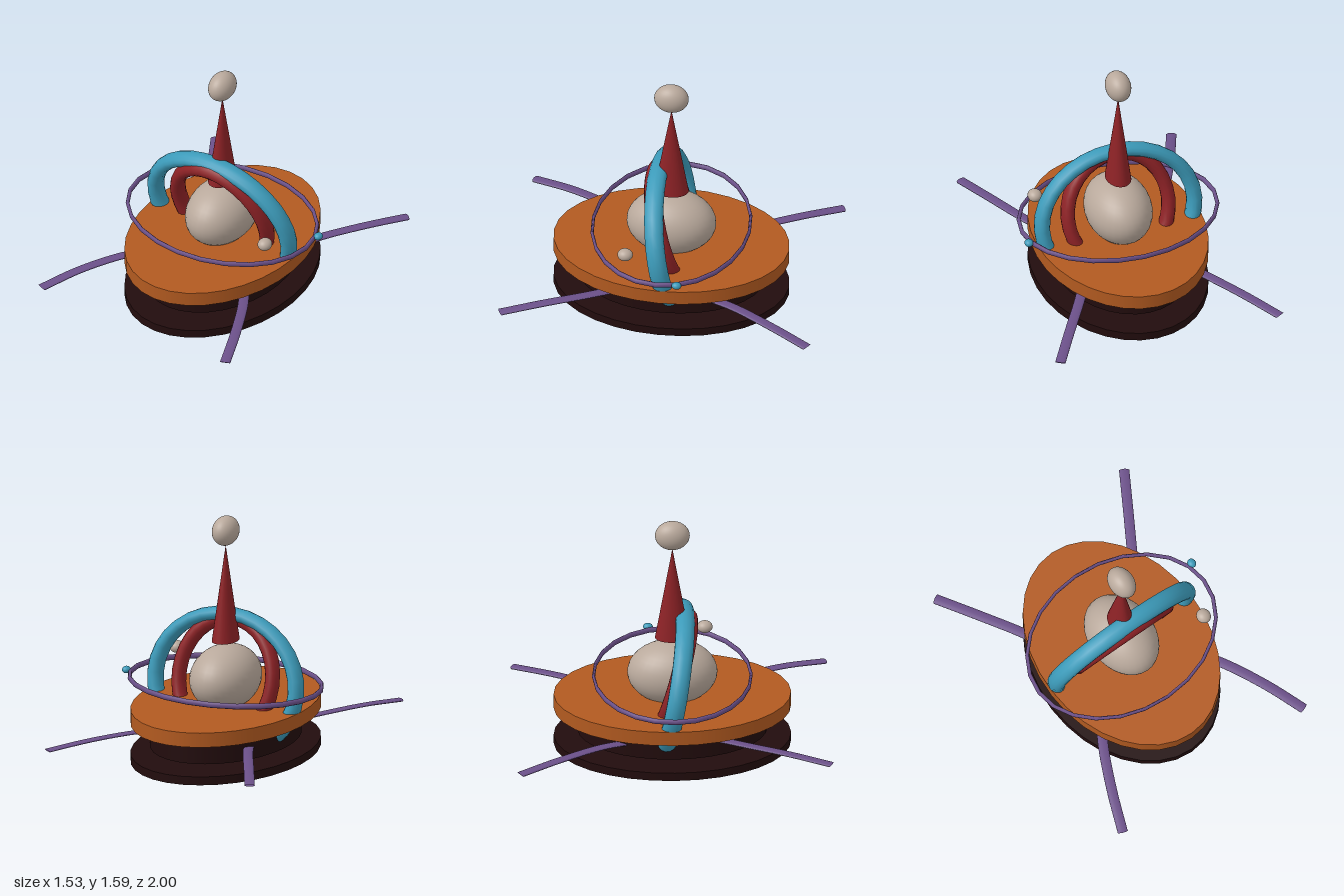
import * as THREE from 'three';

const mat = (name, color, side = THREE.FrontSide) => {
  const m = new THREE.MeshStandardMaterial({ color, side });
  m.name = name;
  return m;
};

export function createModel() {
  const model = new THREE.Group();
  const bone = mat('bone', 0xb9a99c);
  const red = mat('deep red', 0x8e2226);
  const blue = mat('teal blue', 0x3c9bba);
  const purple = mat('purple', 0x6b5089, THREE.DoubleSide);
  const orange = mat('burnt orange', 0xb25a20);
  const dark = mat('dark brown', 0x220c0d);

  const add = (name, geometry, material, pos = [0, 0, 0], scale = [1, 1, 1], tilt = 0) => {
    const mesh = new THREE.Mesh(geometry, material);
    mesh.name = name;
    mesh.position.set(...pos);
    mesh.scale.set(...scale);
    mesh.rotation.x = tilt;
    model.add(mesh);
    return mesh;
  };
  const ball = (name, material, pos, radii) =>
    add(name, new THREE.SphereGeometry(1, 32, 20), material, pos, radii);
  const disc = (name, material, rx, rz, y0, y1) =>
    add(name, new THREE.CylinderGeometry(1, 1, 1, 32), material, [0, (y0 + y1) / 2, 0], [rx, y1 - y0, rz]);

  // Stacked oval discs
  disc('basePlate', dark, 0.545, 0.75, 0.04, 0.095);
  disc('hull', dark, 0.435, 0.6, 0.135, 0.292);
  disc('deck', orange, 0.545, 0.75, 0.29, 0.385);

  // Core, spire and finial
  ball('core', bone, [0, 0.538, 0], [0.21, 0.207, 0.285]);
  add('spire', new THREE.ConeGeometry(1, 0.63, 32), red, [0, 1.095, 0], [0.08, 1, 0.11]);
  ball('finial', bone, [0, 1.503, 0], [0.08, 0.095, 0.11]);

  // Two tilted upright hoops
  add('outerHoop', new THREE.TorusGeometry(0.51, 0.05, 14, 32), blue,
    [0, 0.493, 0], [1, 0.875, 1.22], 0.18);
  add('innerHoop', new THREE.TorusGeometry(0.336, 0.044, 14, 32), red,
    [0, 0.53, 0], [1, 1.14, 1.32], 0.28);

  // Level orbit ring with its moons
  const ring = new THREE.TorusGeometry(0.642, 0.013, 8, 24).rotateX(Math.PI / 2);
  add('orbitRing', ring, purple, [0, 0.507, 0], [1, 1.45, 0.775]);
  ball('blueMoon', blue, [0.645, 0.519, -0.134], [0.027, 0.023, 0.031]);
  ball('boneMoon', bone, [0.48, 0.6, 0.22], [0.045, 0.039, 0.049]);

  // Four flattened, gently arched arms and two side knobs
  const flat = 0.27;
  const arms = {
    frontArm: [[0.35, 0.235, 0.26], [0.47, 0.248, 0.45], [0.6, 0.247, 0.72], [0.705, 0.224, 0.982]],
    backArm: [[0.34, 0.21, -0.3], [0.43, 0.224, -0.47], [0.585, 0.22, -0.73], [0.735, 0.201, -0.982]],
  };
  for (const side of [-1, 1]) {
    for (const [name, pts] of Object.entries(arms)) {
      const curve = new THREE.CatmullRomCurve3(
        pts.map(([x, y, z]) => new THREE.Vector3(side * x, y / flat, z)));
      add(name, new THREE.TubeGeometry(curve, 24, 0.034, 10), purple, [0, 0, 0], [1, flat, 1]);
    }
    ball('sideKnob', purple, [side * 0.415, 0.29, 0.065], [0.04, 0.035, 0.055]);
  }
  return model;
}
